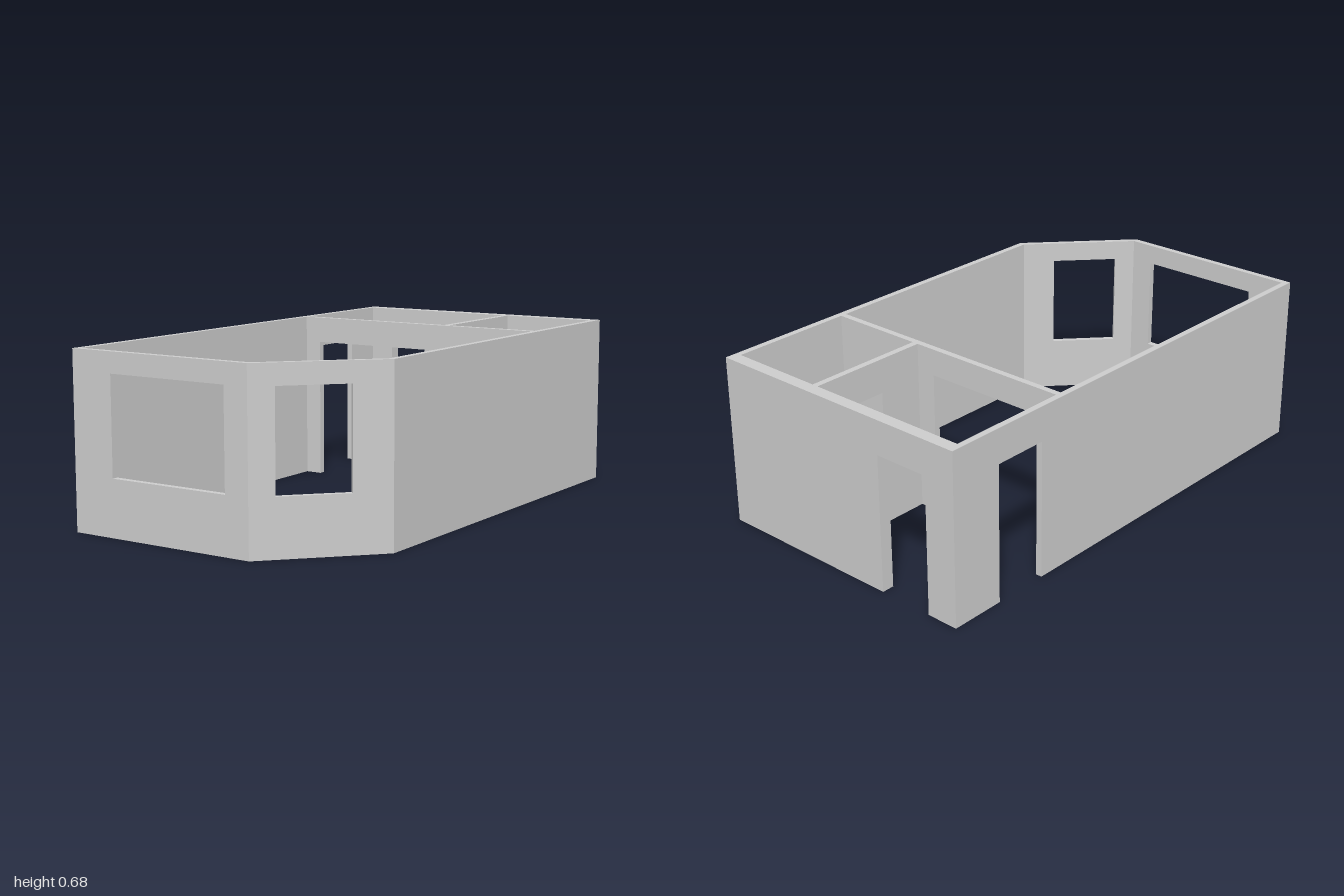
import * as THREE from 'three';

const HEIGHT = 0.68;
const material = new THREE.MeshStandardMaterial({ color: 0xcccccc, flatShading: true });

// One wall panel. a -> b is its outer face in plan [x, z], t its thickness;
// opening = [start, end, bottom, top] along the wall; trims shorten the inner face for mitres.
function makeWall({ name, a, b, t, opening, trimStart = 0, trimEnd = 0 }) {
  const length = Math.hypot(b[0] - a[0], b[1] - a[1]);
  const outline = [[0, 0], [length, 0], [length, HEIGHT], [0, HEIGHT]];
  let hole = null;
  if (opening) {
    const [u0, u1, y0, y1] = opening;
    if (y0 === 0) outline.splice(1, 0, [u0, 0], [u0, y1], [u1, y1], [u1, 0]); // doorway notch
    else hole = [[u0, y0], [u0, y1], [u1, y1], [u1, y0]]; // window
  }
  const toVectors = (pts) => pts.map(([x, y]) => new THREE.Vector2(x, y));
  const shape = new THREE.Shape(toVectors(outline));
  if (hole) shape.holes.push(new THREE.Path(toVectors(hole)));

  const geometry = new THREE.ExtrudeGeometry(shape, { depth: t, bevelEnabled: false });
  geometry.translate(0, 0, -t);

  // Mitre the ends by sliding the inner edge
  const pos = geometry.attributes.position;
  for (let i = 0; i < pos.count; i++) {
    if (pos.getZ(i) > -t / 2) continue;
    const u = pos.getX(i);
    if (u < 1e-5) pos.setX(i, trimStart);
    else if (u > length - 1e-5) pos.setX(i, length - trimEnd);
  }
  geometry.computeVertexNormals();

  const mesh = new THREE.Mesh(geometry, material);
  mesh.name = name;
  mesh.position.set(a[0], 0, a[1]);
  mesh.rotation.y = Math.atan2(a[1] - b[1], b[0] - a[0]);
  return mesh;
}

export function createModel() {
  const model = new THREE.Group();
  model.name = 'roomShell';

  // Outer walls, in order around the plan; each runs to the start of the next
  const outer = [
    { name: 'frontWall', a: [-0.57, 1], t: 0.025, opening: [0.18, 0.69, 0.22, 0.6] },
    { name: 'angledWall', a: [0.22, 1], t: 0.022, opening: [0.0945, 0.3636, 0.22, 0.6] },
    { name: 'leftWall', a: [0.57, 0.63], t: 0.025 },
    { name: 'backWall', a: [0.57, -1], t: 0.05, opening: [0.785, 1.01, 0, 0.545] },
    { name: 'rightWall', a: [-0.57, -1], t: 0.025, opening: [0.223, 0.447, 0, 0.545] },
  ];
  const n = outer.length;
  outer.forEach((w, i) => { w.b = outer[(i + 1) % n].a; });
  const heading = (w) => Math.atan2(w.a[1] - w.b[1], w.b[0] - w.a[0]);

  // Trim where the inner faces of two neighbouring walls meet
  const trim = (w, other) => {
    const turn = Math.abs(heading(w) - heading(other));
    return (other.t - w.t * Math.cos(turn)) / Math.abs(Math.sin(turn));
  };
  outer.forEach((w, i) => {
    w.trimStart = trim(w, outer[(i + n - 1) % n]);
    w.trimEnd = trim(w, outer[(i + 1) % n]);
    model.add(makeWall(w));
  });

  // Inner walls
  model.add(makeWall({
    name: 'dividingWall', a: [-0.545, -0.425], b: [0.545, -0.425], t: 0.025,
    opening: [0.07, 0.595, 0, 0.575],
  }));
  model.add(makeWall({
    name: 'partitionWall', a: [0.155, -0.45], b: [0.155, -0.95], t: 0.025,
    opening: [0.19, 0.39, 0, 0.545],
  }));
  return model;
}
